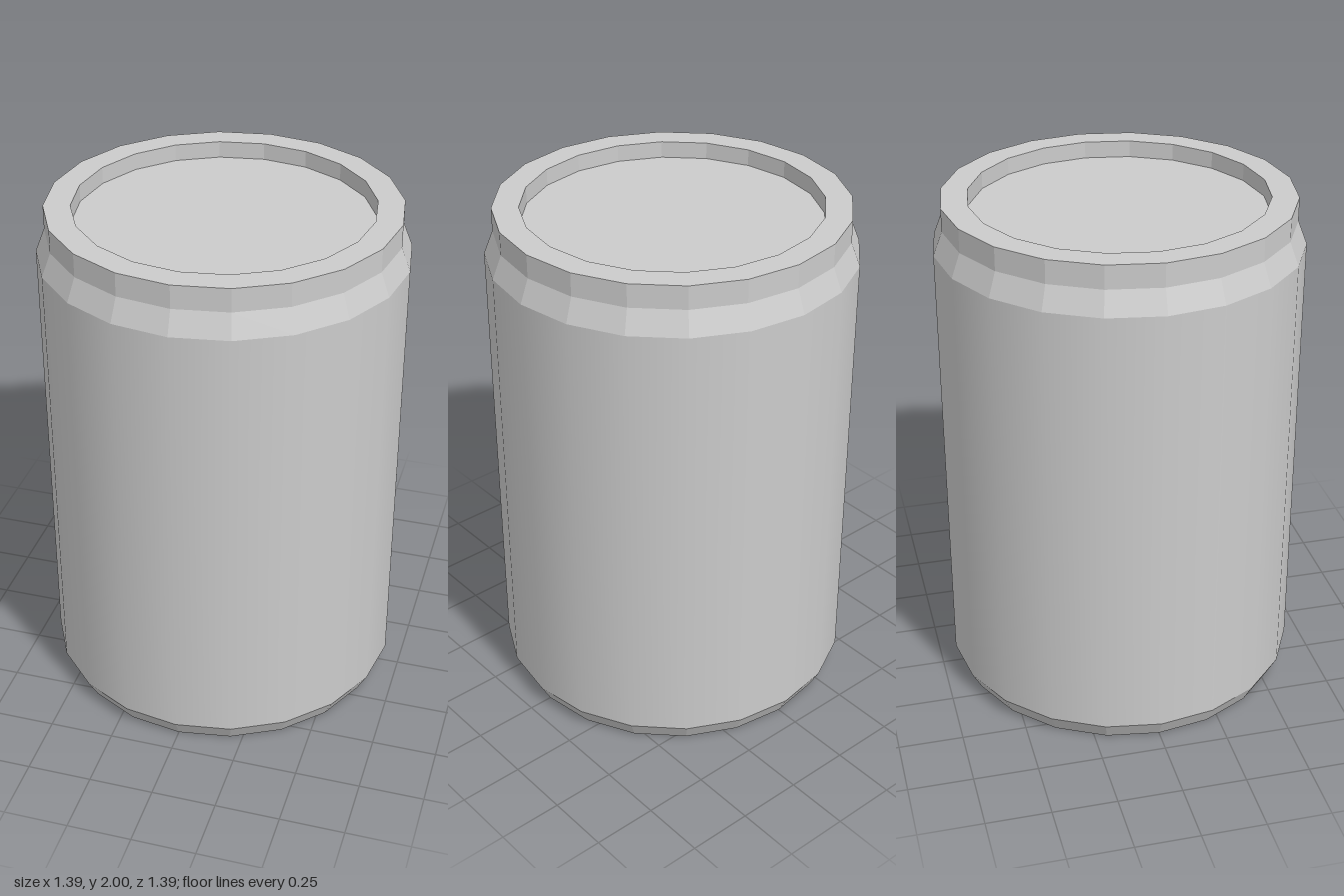
import * as THREE from 'three';

const SIDES = 20;

// Turned section; profile runs from the bottom centre, up the outside, to the top centre
function turned(name, profile, flatShading) {
  const points = profile.map(([r, y]) => new THREE.Vector2(r, y));
  const material = new THREE.MeshStandardMaterial({ color: 0xcccccc, flatShading });
  const mesh = new THREE.Mesh(new THREE.LatheGeometry(points, SIDES), material);
  mesh.name = name;
  return mesh;
}

export function createModel() {
  const can = new THREE.Group();
  can.name = 'can';
  can.add(
    // Recessed underside, standing ring and lower bevel
    turned('base', [[0, 0.045], [0.59, 0.045], [0.59, 0], [0.655, 0], [0.695, 0.075]], true),
    // Smooth cylindrical wall
    turned('body', [[0.695, 0.075], [0.695, 1.82]], false),
    // Sloping shoulder and straight neck
    turned('neck', [[0.695, 1.82], [0.66, 1.91], [0.66, 2]], true),
    // Flat rim around the recessed lid
    turned('lid', [[0.66, 2], [0.56, 2], [0.56, 1.935], [0, 1.935]], true),
  );
  return can;
}
